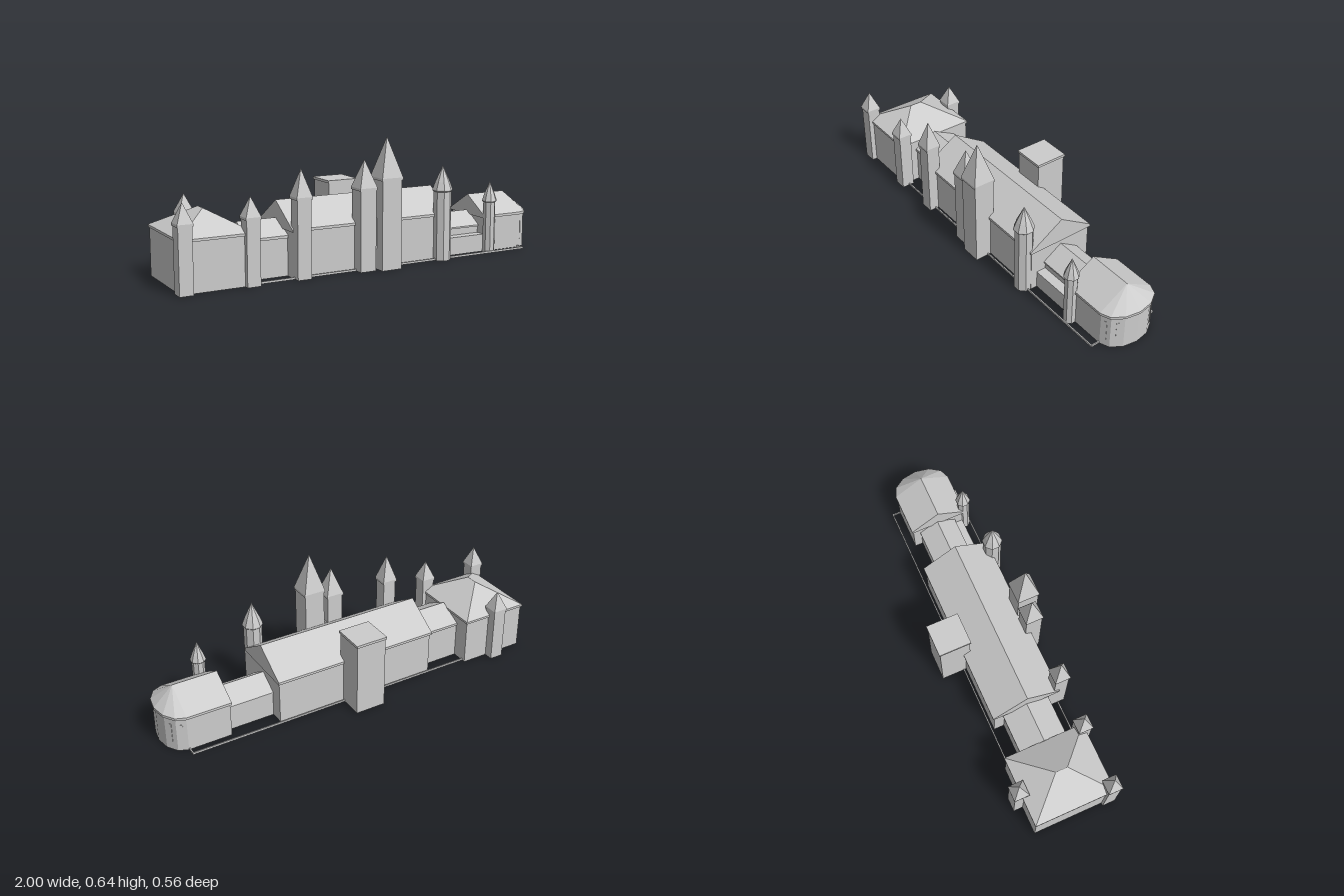
import * as THREE from 'three';

const stone = new THREE.MeshStandardMaterial({ color: 0xcccccc, side: THREE.DoubleSide });
stone.name = 'pale grey stone';

export function createModel() {
  const model = new THREE.Group();
  model.name = 'castle';

  // Adds a faceted mesh
  function add(name, geometry, x = 0, y = 0, z = 0, parent = model) {
    const flat = geometry.index ? geometry.toNonIndexed() : geometry;
    flat.computeVertexNormals();
    const mesh = new THREE.Mesh(flat, stone);
    mesh.name = name;
    mesh.position.set(x, y, z);
    parent.add(mesh);
    return mesh;
  }

  // Solid block given by its limits
  function block(name, x0, x1, y0, y1, z0, z1) {
    const g = new THREE.BoxGeometry(x1 - x0, y1 - y0, z1 - z0);
    return add(name, g, (x0 + x1) / 2, (y0 + y1) / 2, (z0 + z1) / 2);
  }

  // Four walls without floor or ceiling
  function walls(name, x0, x1, height, z0, z1) {
    const g = new THREE.CylinderGeometry(Math.SQRT1_2, Math.SQRT1_2, 1, 4, 1, true);
    g.rotateY(Math.PI / 4);
    g.scale(x1 - x0, height, z1 - z0);
    add(name, g, (x0 + x1) / 2, height / 2, (z0 + z1) / 2);
  }

  // Gabled roof with a low fascia, ridge along x
  function gableRoof(name, x0, x1, eave, ridge, z0, z1, fascia = 0.013) {
    const mid = (z0 + z1) / 2;
    const s = new THREE.Shape();
    s.moveTo(-z0, eave - fascia);
    s.lineTo(-z0, eave);
    s.lineTo(-mid, ridge);
    s.lineTo(-z1, eave);
    s.lineTo(-z1, eave - fascia);
    const g = new THREE.ExtrudeGeometry(s, { depth: x1 - x0, bevelEnabled: false });
    g.rotateY(Math.PI / 2);
    add(name, g, x0, 0, 0);
  }

  // Square tower with band and pyramid spire
  function squareTower(name, x, z, half, capHalf, eave, apex) {
    const tower = new THREE.Group();
    tower.name = name;
    tower.position.set(x, 0, z);
    model.add(tower);
    add('towerShaft', new THREE.BoxGeometry(half * 2, eave, half * 2), 0, eave / 2, 0, tower);
    add('towerBand', new THREE.BoxGeometry(capHalf * 2, 0.012, capHalf * 2), 0, eave - 0.006, 0, tower);
    const spire = new THREE.ConeGeometry(capHalf * Math.SQRT2, apex - eave, 4, 1, true);
    spire.rotateY(Math.PI / 4);
    add('towerSpire', spire, 0, (apex + eave) / 2, 0, tower);
  }

  // Eight-sided turret with flared spire
  function turret(name, x, z, half, capHalf, eave, apex) {
    const k = 1 / Math.cos(Math.PI / 8);
    const knee = eave + (apex - eave) * 0.33;
    const profile = [
      [0, 0], [half, 0], [half, eave - 0.01], [capHalf, eave - 0.005],
      [capHalf, eave], [capHalf * 0.72, knee], [0, apex],
    ].map(([r, y]) => new THREE.Vector2(r * k, y));
    const g = new THREE.LatheGeometry(profile, 8);
    g.rotateY(Math.PI / 8);
    add(name, g, x, 0, z);
  }

  // West wing with hipped roof
  walls('westWingWalls', -0.98, -0.632, 0.24, -0.18, 0.224);
  block('westWingEaves', -0.985, -0.627, 0.233, 0.245, -0.187, 0.23);
  const hip = new THREE.BoxGeometry(0.358, 0.1, 0.417);
  const p = hip.attributes.position;
  for (let i = 0; i < p.count; i++) {
    if (p.getY(i) > 0) {
      p.setX(i, Math.sign(p.getX(i)) * 0.0005);
      p.setZ(i, 0.003 + Math.sign(p.getZ(i)) * 0.031);
    }
  }
  add('westWingRoof', hip, -0.806, 0.295, 0.0215);

  // West link
  walls('westLinkWalls', -0.632, -0.42, 0.19, -0.093, 0.137);
  gableRoof('westLinkRoof', -0.63, -0.42, 0.195, 0.26, -0.1, 0.144);

  // Great hall
  walls('greatHallWalls', -0.423, 0.437, 0.225, -0.146, 0.194);
  gableRoof('greatHallRoof', -0.43, 0.443, 0.232, 0.345, -0.155, 0.202);

  // East link with low front aisle
  walls('eastLinkWalls', 0.437, 0.68, 0.125, -0.075, 0.11);
  gableRoof('eastLinkRoof', 0.437, 0.68, 0.132, 0.196, -0.08, 0.118, 0.008);
  block('eastAisle', 0.437, 0.68, 0, 0.09, 0.11, 0.16);

  // Chapel
  const cz = 0.025;
  walls('chapelWalls', 0.68, 0.9, 0.18, cz - 0.142, cz + 0.142);
  gableRoof('chapelRoof', 0.674, 0.9, 0.188, 0.28, cz - 0.15, cz + 0.15);

  // Rounded chapel end
  function apse(name, top, bottom, y0, y1, reach, open) {
    const g = new THREE.CylinderGeometry(top, bottom, y1 - y0, 6, 1, open, 0, Math.PI);
    g.scale(reach / bottom, 1, 1);
    add(name, g, 0.9, (y0 + y1) / 2, cz);
  }
  apse('apseWall', 0.142, 0.142, 0, 0.18, 0.092, true);
  apse('apseEaves', 0.15, 0.15, 0.175, 0.188, 0.099, false);
  apse('apseRoof', 0, 0.15, 0.188, 0.28, 0.099, true);

  // Narrow windows on the apse facets
  for (const degrees of [-75, -45, 45, 75]) {
    const a = THREE.MathUtils.degToRad(degrees);
    const r = Math.cos(Math.PI / 12);
    const pane = add('apseWindow', new THREE.BoxGeometry(0.012, 0.105, 0.004),
      0.9 + 0.092 * r * Math.cos(a), 0.0925, cz + 0.142 * r * Math.sin(a));
    pane.rotation.y = Math.atan2(Math.cos(a) / 0.092, Math.sin(a) / 0.142);
  }

  // Rear keep with flat capped top
  block('rearKeep', -0.07, 0.086, 0, 0.376, -0.276, -0.119);
  block('rearKeepCap', -0.075, 0.091, 0.375, 0.388, -0.281, -0.114);

  // Square towers
  squareTower('westFrontTower', -0.962, 0.217, 0.033, 0.037, 0.318, 0.41);
  squareTower('westInnerTower', -0.643, 0.217, 0.033, 0.037, 0.318, 0.41);
  squareTower('westRearTower', -0.805, -0.193, 0.035, 0.039, 0.285, 0.375);
  squareTower('hallTower', -0.388, 0.21, 0.035, 0.04, 0.385, 0.515);
  squareTower('gateTower', -0.056, 0.212, 0.042, 0.046, 0.402, 0.535);
  squareTower('greatTower', 0.059, 0.226, 0.053, 0.057, 0.445, 0.637);
  block('gateLintel', -0.016, 0.008, 0.1, 0.25, 0.185, 0.225);

  // Eight-sided turrets
  turret('hallTurret', 0.393, 0.206, 0.042, 0.047, 0.355, 0.473);
  turret('chapelTurret', 0.703, 0.177, 0.029, 0.035, 0.27, 0.367);

  // Low kerb around the site
  for (const z of [-0.158, 0.21]) block('kerbLong', -0.94, 0.9, 0, 0.01, z - 0.003, z + 0.003);
  for (const x of [-0.94, 0.897]) block('kerbShort', x - 0.003, x + 0.003, 0, 0.01, -0.16, 0.212);

  return model;
}
